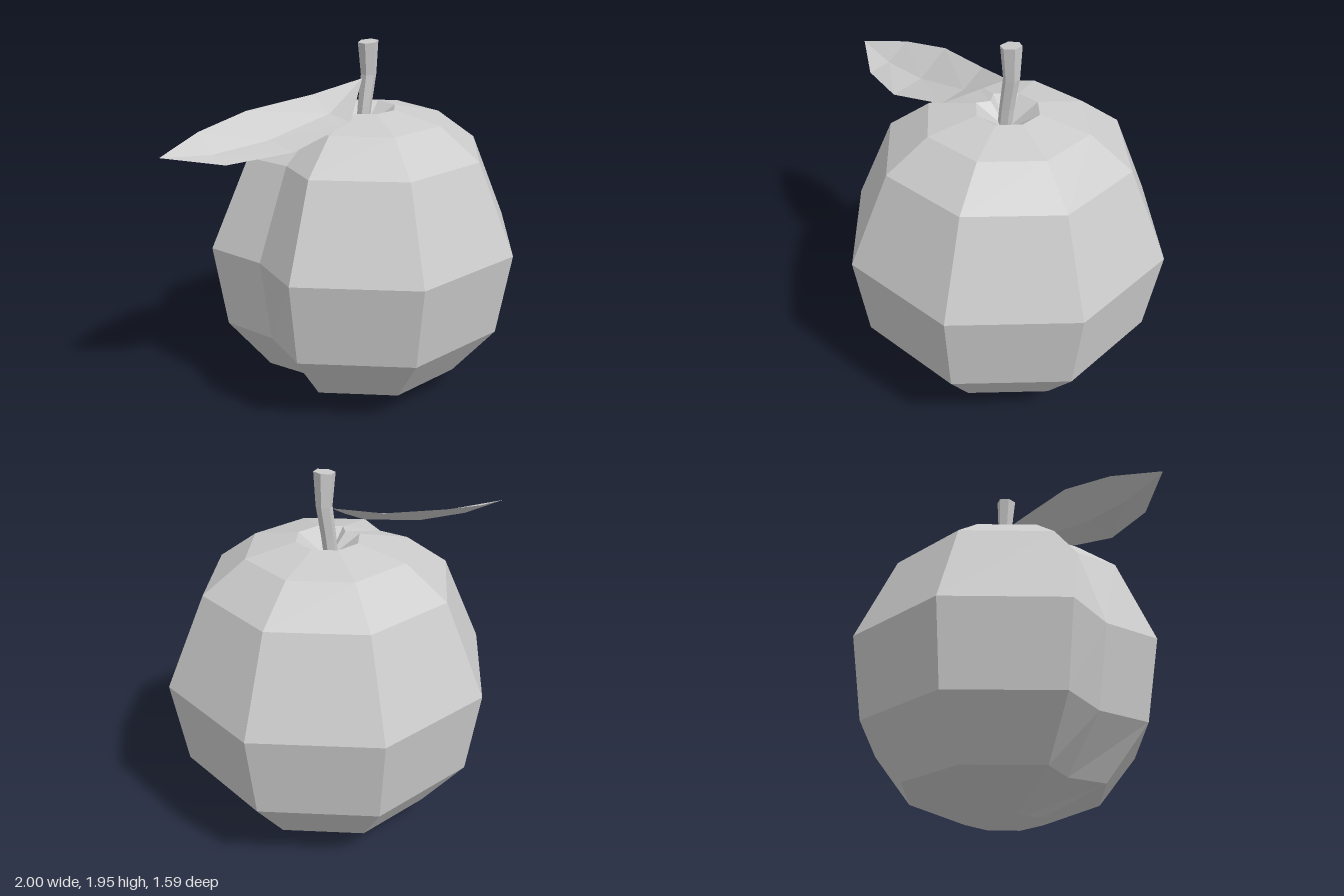
import * as THREE from 'three';

const material = new THREE.MeshStandardMaterial({ color: 0xcccccc, flatShading: true, side: THREE.DoubleSide });

// Joins cross-sections of equal length into a skin; closed wraps each section round.
function loft(sections, closed) {
  const n = sections[0].length;
  const index = [];
  for (let i = 0; i < sections.length - 1; i++) {
    for (let j = 0; j < (closed ? n : n - 1); j++) {
      const k = (j + 1) % n;
      const a = i * n + j, b = i * n + k, c = a + n, d = b + n;
      index.push(a, c, b, b, c, d);
    }
  }
  const geometry = new THREE.BufferGeometry();
  geometry.setAttribute('position', new THREE.Float32BufferAttribute(sections.flat(2), 3));
  geometry.setIndex(index);
  const flat = geometry.toNonIndexed();
  flat.computeVertexNormals();
  return flat;
}

function addPart(group, name, geometry) {
  const mesh = new THREE.Mesh(geometry, material);
  mesh.name = name;
  group.add(mesh);
}

// Eight-sided fruit with a creased -x face and dimples at both ends
function fruitGeometry() {
  const cx = 0.205;
  // [height, distance to flat side, crease depth]
  const profile = [
    [0.08, 0, 0], [0, 0.205, 0.06], [0.14, 0.515, 0.07], [0.435, 0.73, 0.07], [0.89, 0.795, 0.07],
    [1.375, 0.6, 0.06], [1.54, 0.395, 0.05], [1.595, 0.155, 0.04], [1.48, 0, 0],
  ];
  const rings = profile.map(([y, apothem, crease]) => {
    const ring = [];
    const r = apothem / Math.cos(Math.PI / 8);
    for (let i = 0; i < 8; i++) {
      const a = Math.PI / 8 + i * Math.PI / 4;
      ring.push([cx + r * Math.cos(a), y, -r * Math.sin(a)]);
      if (i === 3) ring.push([cx - apothem + crease, y, 0]);
    }
    return ring;
  });
  // Reverse each ring so that the faces look outward
  return loft(rings.map((ring) => ring.reverse()), true);
}

// Six-sided stem, slightly bent and flared, capped at the top
function stemGeometry() {
  // [centre x, height, radius]
  const levels = [[0.185, 1.47, 0.036], [0.2, 1.6, 0.038], [0.226, 1.77, 0.042], [0.22, 1.943, 0.055], [0.22, 1.943, 0]];
  return loft(levels.map(([x, y, r], level) => {
    const ring = [];
    for (let i = 0; i < 6; i++) {
      const a = Math.PI / 6 - i * Math.PI / 3;
      const dx = r * Math.cos(a);
      ring.push([x + dx, y + (level === 3 ? dx * 0.1 : 0), -r * Math.sin(a)]);
    }
    return ring;
  }), true);
}

// Folded leaf: back edge, midrib and front edge at each step to the tip
function leafGeometry() {
  const base = [0.19, 1.75, -0.01], tip = [-1, 1.525, -0.11];
  return loft([
    [base, base, base],
    [[-0.07, 1.685, -0.11], [-0.07, 1.61, 0.03], [-0.07, 1.595, 0.19]],
    [[-0.43, 1.64, -0.2], [-0.43, 1.525, -0.015], [-0.43, 1.508, 0.185]],
    [[-0.73, 1.585, -0.19], [-0.74, 1.5, -0.06], [-0.75, 1.48, 0.07]],
    [tip, tip, tip],
  ], false);
}

export function createModel() {
  const group = new THREE.Group();
  group.name = 'fruit';
  addPart(group, 'fruitBody', fruitGeometry());
  addPart(group, 'stem', stemGeometry());
  addPart(group, 'leaf', leafGeometry());
  return group;
}
